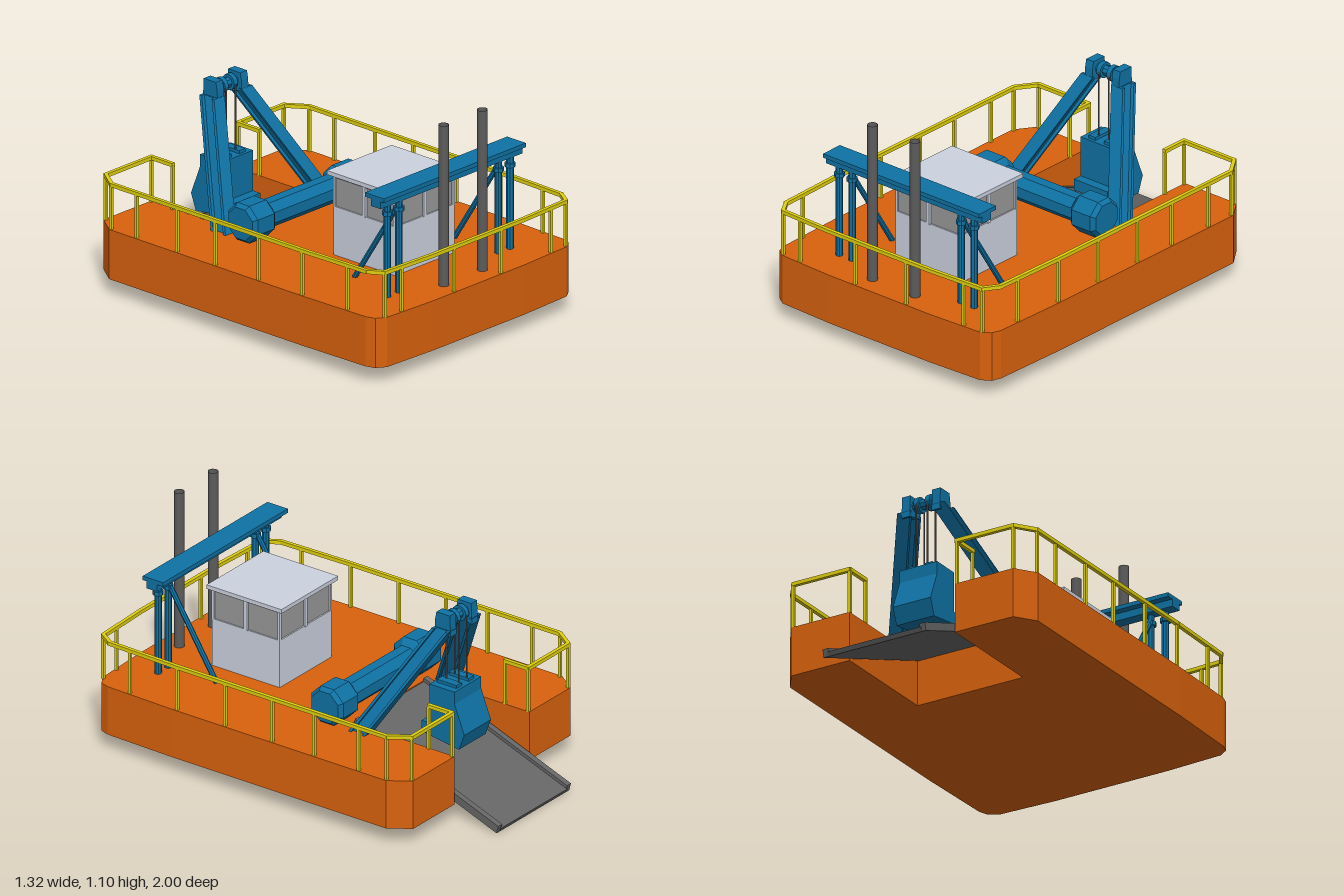
import * as THREE from 'three';

const mat = (color, extra = {}) => new THREE.MeshStandardMaterial({ color, ...extra });

export function createModel() {
  const root = new THREE.Group();
  const orange = mat(0xd9620e), blue = mat(0x0f72a4, { flatShading: true }), yellow = mat(0xe0d010);
  const white = mat(0xccd2e0), glass = mat(0x999999), grey = mat(0x666666);
  const tubeGrey = mat(0x5c5c5c, { side: THREE.DoubleSide });
  const V = (x, y, z) => new THREE.Vector3(x, y, z);

  const add = (name, geo, material, parent = root) => {
    const m = new THREE.Mesh(geo, material);
    m.name = name;
    parent.add(m);
    return m;
  };
  const group = (name) => {
    const g = new THREE.Group();
    g.name = name;
    root.add(g);
    return g;
  };
  // Box given by its lower and upper limits on each axis
  const box = (name, x0, x1, y0, y1, z0, z1, material, parent) =>
    add(name, new THREE.BoxGeometry(x1 - x0, y1 - y0, z1 - z0)
      .translate((x0 + x1) / 2, (y0 + y1) / 2, (z0 + z1) / 2), material, parent);
  // Square bar between two points
  const bar = (name, a, b, w, material, parent) => {
    const m = add(name, new THREE.BoxGeometry(w, w, a.distanceTo(b) + w * 0.6), material, parent);
    m.position.copy(a).lerp(b, 0.5);
    m.lookAt(b);
    return m;
  };
  // Round rod between two points
  const rod = (name, a, b, r, sides, material, parent) => {
    const m = add(name, new THREE.CylinderGeometry(r, r, a.distanceTo(b), sides), material, parent);
    m.position.copy(a).lerp(b, 0.5);
    m.quaternion.setFromUnitVectors(V(0, 1, 0), b.clone().sub(a).normalize());
    return m;
  };
  // Side profile of [z, y] points extruded across x
  const profile = (name, pts, x0, x1, material, parent) => {
    const s = new THREE.Shape(pts.map(([z, y]) => new THREE.Vector2(-z, y)));
    const g = new THREE.ExtrudeGeometry(s, { depth: x1 - x0, bevelEnabled: false });
    return add(name, g.rotateY(Math.PI / 2).translate(x0, 0, 0), material, parent);
  };
  const mirrored = (pts) => [...pts, ...pts.slice().reverse().map(([x, z]) => [-x, z])];

  // Hull with a slot in the stern
  const outline = mirrored([[0.28, -0.19], [0.28, -0.76], [0.59, -0.76], [0.66, -0.66],
    [0.66, 0.53], [0.65, 0.91], [0.635, 0.955], [0.59, 0.985], [0.3, 0.998]]);
  const hull = new THREE.ExtrudeGeometry(new THREE.Shape(outline.map(p => new THREE.Vector2(...p))),
    { depth: 0.24, bevelEnabled: false });
  add('hull', hull.rotateX(Math.PI / 2).translate(0, 0.32, 0), orange);

  // Guard rail round the deck edge
  const railing = group('railing');
  const path = mirrored([[0.285, -0.62], [0.285, -0.75], [0.585, -0.75], [0.65, -0.655],
    [0.65, 0.53], [0.64, 0.905], [0.595, 0.975], [0.3, 0.988]]);
  for (let i = 0; i < path.length - 1; i++) {
    const [a, b] = [path[i], path[i + 1]];
    bar('topRail', V(a[0], 0.535, a[1]), V(b[0], 0.535, b[1]), 0.018, yellow, railing);
  }
  const posts = [[0.285, -0.62], [0.285, -0.75], [0.585, -0.75], [0.65, -0.655], [0.65, -0.5], [0.65, -0.25],
    [0.65, -0.015], [0.65, 0.25], [0.65, 0.52], [0.642, 0.79], [0.595, 0.975], [0.49, 0.98], [0.153, 0.988]];
  for (const [x, z] of posts) for (const s of [1, -1])
    box('railPost', s * x - 0.007, s * x + 0.007, 0.32, 0.53, z - 0.007, z + 0.007, yellow, railing);

  // Sloping stern ramp with curbs
  const ramp = group('ramp');
  const slab = (lo, hi) => [[-0.19, 0.3 + lo], [-0.99, lo], [-1, hi], [-0.195, 0.3 + hi]];
  profile('rampPlate', slab(0, 0.02), -0.25, 0.25, grey, ramp);
  for (const s of [1, -1])
    profile('rampCurb', slab(0, 0.037), s * 0.2575 - 0.0145, s * 0.2575 + 0.0145, grey, ramp);

  // Cabin: lower body, set-back glass, window posts, roof
  const cabin = group('cabin');
  box('cabinBody', -0.195, 0.195, 0.32, 0.555, 0.285, 0.665, white, cabin);
  box('cabinWindows', -0.188, 0.188, 0.555, 0.705, 0.292, 0.658, glass, cabin);
  box('windowHeader', -0.195, 0.195, 0.693, 0.707, 0.285, 0.665, white, cabin);
  for (const x of [-0.19, 0, 0.19]) for (const z of [0.29, 0.475, 0.66])
    if (x || z !== 0.475) {
      const w = x && z !== 0.475 ? 0.006 : 0.009;
      box('windowPost', x - w, x + w, 0.55, 0.7, z - w, z + w, white, cabin);
    }
  box('cabinRoof', -0.213, 0.213, 0.705, 0.725, 0.262, 0.682, white, cabin);

  // Two hollow mooring spuds at the bow
  for (const s of [1, -1])
    add('spud', new THREE.CylinderGeometry(0.024, 0.024, 0.775, 16, 1, true), tubeGrey)
      .position.set(s * 0.127, 0.7075, 0.9);

  // Bow gantry
  const gantry = group('bowGantry');
  box('gantryTopPlate', -0.467, 0.467, 0.8, 0.82, 0.735, 0.85, blue, gantry);
  box('gantryBeam', -0.467, 0.467, 0.765, 0.8, 0.77, 0.83, blue, gantry);
  for (const s of [1, -1]) {
    for (const x of [0.403, 0.327]) {
      rod('gantryPost', V(s * x, 0.32, 0.812), V(s * x, 0.77, 0.812), 0.017, 8, blue, gantry);
      rod('postCollar', V(s * x, 0.715, 0.812), V(s * x, 0.735, 0.812), 0.025, 8, blue, gantry);
    }
    rod('gantryBrace', V(s * 0.327, 0.735, 0.805), V(s * 0.327, 0.32, 0.54), 0.013, 8, blue, gantry);
  }

  // Octagonal winch drum lying across the deck
  const half = [[0.066, 0.225], [0.084, 0.24], [0.097, 0.255], [0.097, 0.365], [0.08, 0.385], [0, 0.385]];
  const drum = [...half.slice().reverse().map(([r, x]) => [r, -x]), ...half];
  const drumGeo = new THREE.LatheGeometry(drum.map(p => new THREE.Vector2(...p)), 8, Math.PI / 8);
  add('winchDrum', drumGeo.rotateZ(-Math.PI / 2), blue).position.set(0, 0.415, -0.11);

  // Stern A-frame: sheared I-section legs and an upright head
  const frame = group('aFrame');
  const foot = V(0.325, 0.32, -0.27), top = V(0.09, 0.83, -0.56);
  const legPart = (s, w, dz, d) => {
    const g = new THREE.BoxGeometry(w, 1, d);
    const p = g.attributes.position;
    for (let i = 0; i < p.count; i++) {
      const c = foot.clone().lerp(top, p.getY(i) + 0.5);
      p.setXYZ(i, s * c.x + p.getX(i), c.y, c.z + dz + p.getZ(i));
    }
    g.computeVertexNormals();
    add('frameLeg', g, blue, frame);
  };
  for (const s of [1, -1]) {
    legPart(s, 0.07, 0.038, 0.015);
    legPart(s, 0.07, -0.038, 0.015);
    legPart(s, 0.035, 0, 0.07);
    profile('frameHead', [[-0.515, 0.82], [-0.605, 0.8], [-0.6, 0.905], [-0.525, 0.905], [-0.518, 0.87]],
      s * 0.08 - 0.022, s * 0.08 + 0.022, blue, frame);
    rod('sheave', V(s * 0.018, 0.862, -0.562), V(s * 0.042, 0.862, -0.562), 0.038, 12, blue, frame);
  }
  rod('headAxle', V(-0.08, 0.862, -0.562), V(0.08, 0.862, -0.562), 0.025, 8, blue, frame);

  // Hoisted bucket on four cables
  const hoist = group('hoist');
  profile('bucket', [[-0.485, 0.53], [-0.485, 0.335], [-0.44, 0.335], [-0.44, 0.28], [-0.65, 0.25],
    [-0.68, 0.33], [-0.625, 0.47], [-0.625, 0.53]], -0.1, 0.1, blue, hoist);
  for (const s of [1, -1]) {
    box('bucketLug', s * 0.045 - 0.02, s * 0.045 + 0.02, 0.525, 0.545, -0.61, -0.5, blue, hoist);
    for (const z of [-0.528, -0.596])
      rod('cable', V(s * 0.03, 0.53, z), V(s * 0.03, 0.865, z), 0.004, 6, grey, hoist);
  }
  return root;
}
